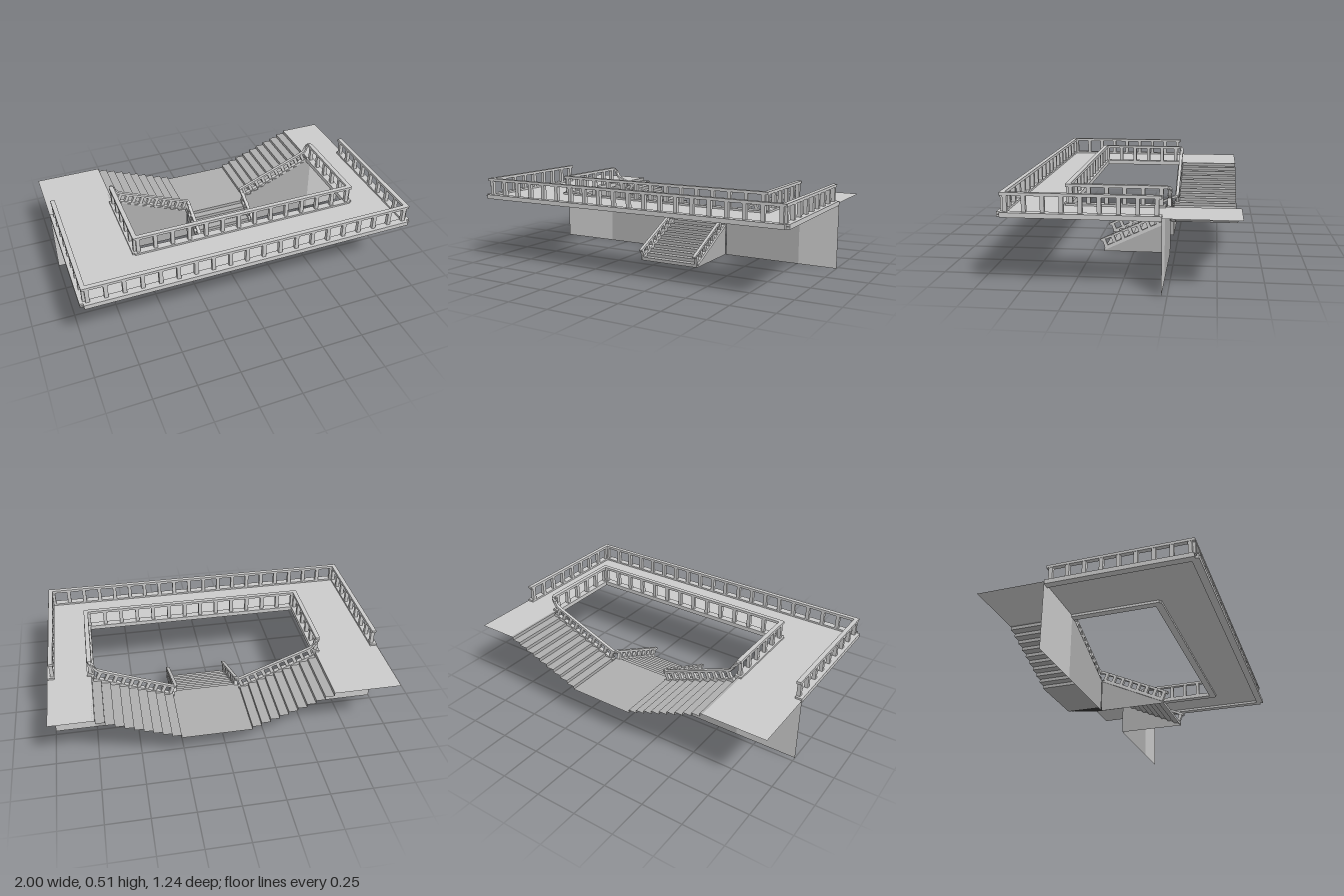
import * as THREE from 'three';

const V = (x, y, z) => new THREE.Vector3(x, y, z);
const light = new THREE.MeshStandardMaterial({ color: 0xcccccc, side: THREE.DoubleSide, flatShading: true });
const dark = new THREE.MeshStandardMaterial({ color: 0xaeaeae, side: THREE.DoubleSide, flatShading: true });

const FLOOR = 0.4, LANDING = 0.2, BACK = -0.62, WALL = -0.22;
const CX = 0.07; // centre line of the staircase

export function createModel() {
  const model = new THREE.Group();

  function group(name) {
    const g = new THREE.Group();
    g.name = name;
    model.add(g);
    return g;
  }

  function add(parent, geometry, material, name) {
    const m = new THREE.Mesh(geometry, material);
    m.name = name;
    parent.add(m);
    return m;
  }

  // rectangular bar between two points
  function bar(parent, a, b, w, h, name, extra = 0) {
    const m = add(parent, new THREE.BoxGeometry(w, h, a.distanceTo(b) + extra), light, name);
    m.position.copy(a).add(b).multiplyScalar(0.5);
    m.lookAt(b);
    return m;
  }

  function barPath(parent, pts, w, h, name) {
    for (let i = 1; i < pts.length; i++) bar(parent, pts[i - 1], pts[i], w, h, name, w * 0.6);
  }

  // open sheet: a profile of points swept along a vector
  function sweep(parent, pts, dir, material, name) {
    const pos = [];
    for (let i = 1; i < pts.length; i++) {
      const a = pts[i - 1], b = pts[i], c = b.clone().add(dir), d = a.clone().add(dir);
      for (const p of [a, b, c, a, c, d]) pos.push(p.x, p.y, p.z);
    }
    const g = new THREE.BufferGeometry();
    g.setAttribute('position', new THREE.Float32BufferAttribute(pos, 3));
    g.computeVertexNormals();
    return add(parent, g, material, name);
  }

  // flat outline
  function plate(parent, pts, material, name) {
    const shape = new THREE.Shape(pts.map(p => new THREE.Vector2(p[0], p[1])));
    return add(parent, new THREE.ShapeGeometry(shape), material, name);
  }

  // balusters spread between a bottom line and a top line
  function balusters(parent, a, b, c, d, n, w, ends = true) {
    for (let i = 0; i <= n; i++) {
      if (!ends && i === n) continue;
      const t = i / n;
      bar(parent, a.clone().lerp(b, t), c.clone().lerp(d, t), w, w, 'baluster');
    }
  }

  // level railing run: curb, handrail and balusters
  function levelRun(parent, a, b, n, railY, curbShift) {
    const at = (p, y) => V(p.x, y, p.z);
    bar(parent, at(a, 0.398).add(curbShift), at(b, 0.398).add(curbShift), 0.042, 0.026, 'curb', 0.02);
    bar(parent, at(a, railY), at(b, railY), 0.026, 0.016, 'handrail', 0.02);
    const inset = b.clone().sub(a).normalize().multiplyScalar(0.015);
    const p = a.clone().add(inset), q = b.clone().sub(inset);
    balusters(parent, at(p, 0.405), at(q, 0.405), at(p, railY), at(q, railY), n, 0.022);
  }

  // gallery floor, a thin U with an opening, reaching back beside the stairs
  const floorMesh = plate(model, [
    [-1, -BACK], [-0.61, -BACK], [-0.61, -0.3], [0.75, -0.3], [0.75, -BACK], [1, -BACK],
    [1, -0.61], [-1, -0.61]
  ], light, 'galleryFloor');
  floorMesh.rotation.x = -Math.PI / 2;
  floorMesh.position.y = FLOOR;

  // outer railing
  const outer = group('outerRailing');
  levelRun(outer, V(-0.97, 0, 0.59), V(0.97, 0, 0.59), 19, 0.503, V(0, 0, 0.009));
  for (const s of [-1, 1])
    levelRun(outer, V(s * 0.97, 0, -0.21), V(s * 0.97, 0, 0.59), 8, 0.503, V(s * 0.009, 0, 0));

  // inner railing along the front of the opening
  const inner = group('innerRailing');
  levelRun(inner, V(-0.61, 0, 0.297), V(0.75, 0, 0.297), 13, 0.507, V(0, 0, 0));

  for (const s of [-1, 1]) {
    const X = d => CX + s * d;

    // inner railing beside the opening
    levelRun(inner, V(X(0.68), 0, -0.215), V(X(0.68), 0, 0.297), 5, 0.507, V(0, 0, 0));

    // side flight: ten risers down to the landing
    const flight = group('sideFlight');
    const steps = [V(X(0.69), FLOOR, BACK)];
    for (let i = 0; i < 10; i++) {
      const x = X(0.675 - i * 0.0522);
      steps.push(V(x, FLOOR - i * 0.02, BACK), V(x, FLOOR - (i + 1) * 0.02, BACK));
    }
    sweep(flight, steps, V(0, 0, WALL - BACK), dark, 'steps');

    // wall under the gallery and the sloping wall under the flight
    const outerX = s, joinX = X(0.69);
    plate(flight, [[outerX, 0], [joinX, 0], [joinX, FLOOR], [outerX, FLOOR]], light, 'galleryWall').position.z = WALL;
    plate(flight, [[joinX, 0], [X(0.2), 0], [X(0.2), LANDING], [X(0.675), FLOOR], [joinX, FLOOR]],
      dark, 'flightWall').position.z = WALL;

    // side wall of the lower flight
    const side = plate(model, [[-WALL, 0], [-WALL, LANDING], [0.2, LANDING], [-0.18, 0.02], [-0.18, 0]],
      dark, 'lowerFlightWall');
    side.rotation.y = Math.PI / 2;
    side.position.x = X(0.195);

    // stair railing: handrail curls over from the gallery, down both flights
    const rail = group('stairRailing');
    const curl = new THREE.CatmullRomCurve3([
      V(X(0.68), 0.507, -0.21), V(X(0.678), 0.505, -0.235), V(X(0.665), 0.49, -0.244),
      V(X(0.645), 0.455, -0.241), V(X(0.6), 0.431, -0.24)
    ]).getPoints(12);
    const bend = new THREE.CatmullRomCurve3([
      V(X(0.21), 0.272, -0.24), V(X(0.19), 0.265, -0.236), V(X(0.187), 0.258, -0.21)
    ]).getPoints(6);
    barPath(rail, [...curl, ...bend, V(X(0.187), 0.068, 0.198)], 0.02, 0.014, 'handrail');

    // sloping curbs with balusters square to the slope
    const z = -0.24;
    const top = V(X(0.665), 0.394, z), low = V(X(0.2), 0.205, z);
    bar(rail, top, low, 0.026, 0.02, 'curb');
    balusters(rail, V(X(0.645), 0.39, z), V(X(0.225), 0.215, z),
      V(X(0.622), 0.438, z), V(X(0.203), 0.268, z), 9, 0.02);
    const cx = X(0.19);
    bar(rail, V(cx, 0.202, -0.21), V(cx, 0.02, 0.175), 0.022, 0.02, 'curb');
    balusters(rail, V(cx, 0.2, -0.2), V(cx, 0.024, 0.165),
      V(cx, 0.25, -0.18), V(cx, 0.076, 0.185), 7, 0.02);
  }

  // landing between the side flights
  sweep(model, [V(CX - 0.206, LANDING, BACK), V(CX + 0.206, LANDING, BACK)],
    V(0, 0, -0.2 - BACK), dark, 'landing');

  // lower flight: ten risers down to the ground
  const lower = [];
  for (let i = 0; i < 10; i++) {
    const zz = -0.2 + i * 0.0418;
    lower.push(V(CX - 0.195, LANDING - i * 0.02, zz), V(CX - 0.195, LANDING - (i + 1) * 0.02, zz));
  }
  sweep(model, lower, V(0.39, 0, 0), dark, 'lowerFlightSteps');

  return model;
}
